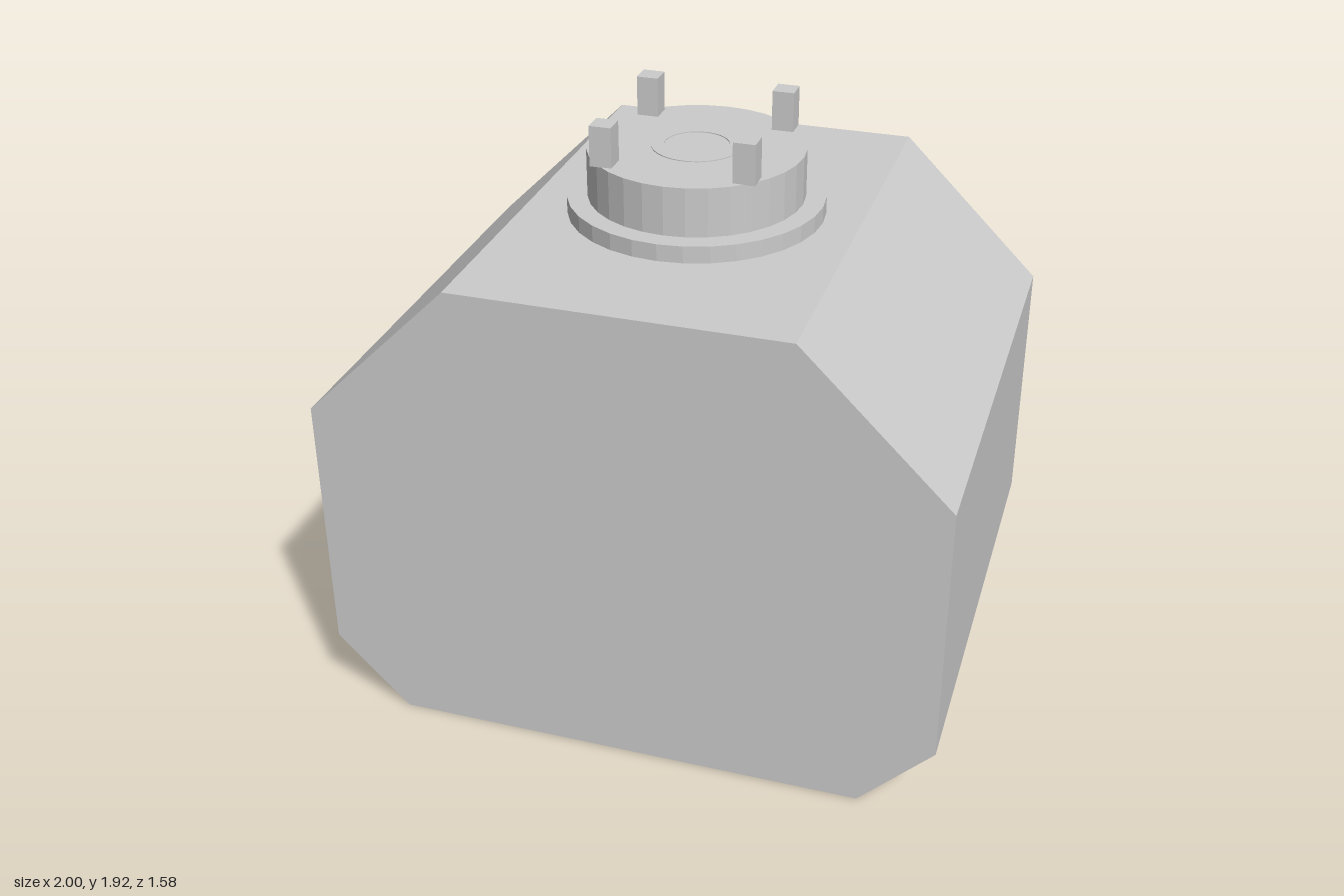
import * as THREE from 'three';

const material = new THREE.MeshStandardMaterial({ color: 0xcccccc, flatShading: true });

function add(group, name, geometry, x = 0, y = 0, z = 0) {
  const mesh = new THREE.Mesh(geometry, material);
  mesh.name = name;
  mesh.position.set(x, y, z);
  group.add(mesh);
  return mesh;
}

// Upright disc standing on a given height
function addDisc(group, name, radius, bottom, top) {
  const geometry = new THREE.CylinderGeometry(radius, radius, top - bottom, 32);
  add(group, name, geometry, 0, (bottom + top) / 2, 0);
}

export function createModel() {
  const model = new THREE.Group();
  model.name = 'chamferedTank';

  // Body: chamfered block, mirrored half profile extruded front to back
  const half = [[0.765, 0], [1, 0.24], [1, 1.11], [0.527, 1.58]];
  const outline = [...half, ...half.map(([x, y]) => [-x, y]).reverse()];
  const shape = new THREE.Shape(outline.map(([x, y]) => new THREE.Vector2(x, y)));
  const depth = 1.58;
  const body = new THREE.ExtrudeGeometry(shape, { depth, bevelEnabled: false });
  body.translate(0, 0, -depth / 2);
  add(model, 'body', body);

  // Round cap: wide flange under a narrower drum
  addDisc(model, 'flange', 0.41, 1.58, 1.635);
  addDisc(model, 'drum', 0.345, 1.635, 1.793);

  // Thin ring in the middle of the drum
  const ring = new THREE.Shape().absarc(0, 0, 0.143, 0, Math.PI * 2);
  ring.holes.push(new THREE.Path().absarc(0, 0, 0.103, 0, Math.PI * 2, true));
  const ringGeometry = new THREE.ExtrudeGeometry(ring, { depth: 0.004, bevelEnabled: false, curveSegments: 32 });
  ringGeometry.rotateX(-Math.PI / 2);
  add(model, 'centreRing', ringGeometry, 0, 1.792, 0);

  // Four square pegs at the rim of the drum
  for (const x of [-0.225, 0.225]) {
    for (const z of [-0.225, 0.225]) {
      add(model, 'peg', new THREE.BoxGeometry(0.07, 0.13, 0.07), x, 1.857, z);
    }
  }
  return model;
}
